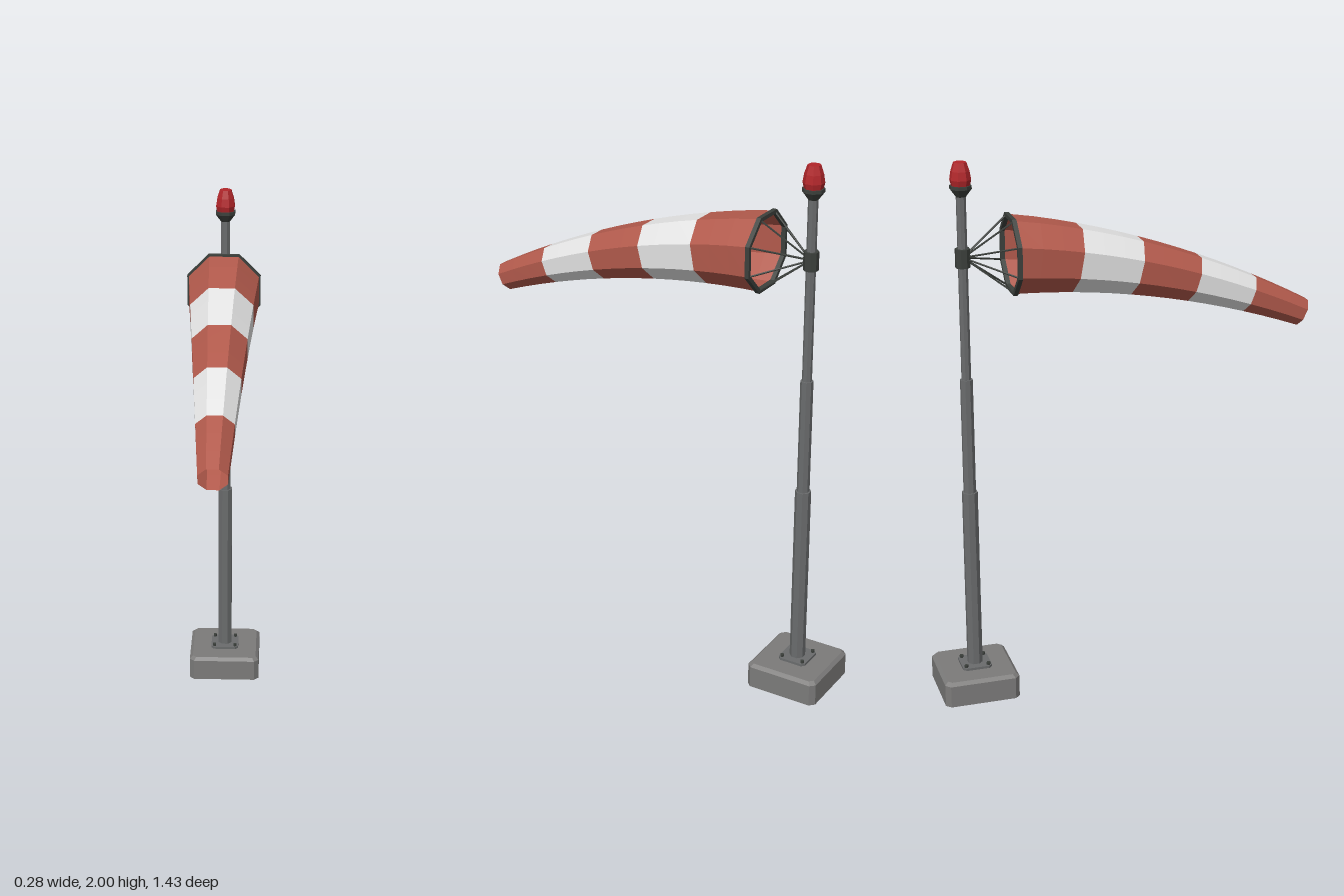
import * as THREE from 'three';

const mat = (name, color, side = THREE.FrontSide) => {
  const m = new THREE.MeshStandardMaterial({ color, side, flatShading: true });
  m.name = name;
  return m;
};

// Square with cut corners, counter-clockwise; the default cut gives a regular octagon
const octagon = (h, c = h * (2 - Math.SQRT2)) => [
  [h, c - h], [h, h - c], [h - c, h], [c - h, h],
  [-h, h - c], [-h, c - h], [c - h, -h], [h - c, -h],
];

// Skin a list of equal-sized cross-sections, optionally with end caps
function loft(sections, capped) {
  const pos = [], n = sections[0].length;
  const tri = (...pts) => pts.forEach((p) => pos.push(p.x, p.y, p.z));
  for (let i = 0; i < sections.length - 1; i++) {
    for (let j = 0; j < n; j++) {
      const k = (j + 1) % n, [s, t] = [sections[i], sections[i + 1]];
      tri(s[j], s[k], t[k]);
      tri(s[j], t[k], t[j]);
    }
  }
  if (capped) {
    const s = sections[0], t = sections[sections.length - 1];
    for (let j = 1; j < n - 1; j++) {
      tri(s[0], s[j + 1], s[j]);
      tri(t[0], t[j], t[j + 1]);
    }
  }
  const g = new THREE.BufferGeometry();
  g.setAttribute('position', new THREE.Float32BufferAttribute(pos, 3));
  g.computeVertexNormals();
  return g;
}

export function createModel() {
  const concrete = mat('concrete grey', 0x7c7b7a);
  const steel = mat('steel grey', 0x6a6c6d);
  const dark = mat('dark metal', 0x3c403c);
  const red = mat('faded red cloth', 0xb25a4c, THREE.DoubleSide);
  const white = mat('white cloth', 0xe4e4e4, THREE.DoubleSide);
  const lampRed = mat('lamp red', 0xb2262a);

  const model = new THREE.Group();
  const poleZ = -0.57, hoopY = 1.664, hoopZ = -0.398;
  const add = (parent, name, geometry, material) => {
    const m = new THREE.Mesh(geometry, material);
    m.name = name;
    parent.add(m);
    return m;
  };

  // Everything standing on the pole axis
  const mast = new THREE.Group();
  mast.name = 'mast';
  mast.position.z = poleZ;
  model.add(mast);

  // Chamfered blocks: [y, half width, corner cut] per level
  const block = (levels) => loft(levels.map(([y, h, c]) =>
    octagon(h, c).map(([z, x]) => new THREE.Vector3(x, y, z))), true);
  add(mast, 'base', block([[0, 0.14, 0.018], [0.083, 0.14, 0.018], [0.095, 0.128, 0.014]]), concrete);
  add(mast, 'footPlate', block([[0.094, 0.055, 0.012], [0.104, 0.055, 0.012]]), steel);
  for (const x of [-1, 1]) {
    for (const z of [-1, 1]) {
      add(mast, 'bolt', new THREE.CylinderGeometry(0.007, 0.007, 0.012, 6), dark)
        .position.set(x * 0.042, 0.108, z * 0.042);
    }
  }

  // Stepped pole and the swivel collar
  const column = (name, r, y0, y1, material) => {
    const g = new THREE.CylinderGeometry(r, r, y1 - y0, 8).rotateY(Math.PI / 8);
    add(mast, name, g, material).position.y = (y0 + y1) / 2;
  };
  column('lowerPole', 0.029, 0.1, 0.79, steel);
  column('middlePole', 0.023, 0.79, 1.22, steel);
  column('upperPole', 0.0175, 1.22, 1.89, steel);
  column('swivelCollar', 0.027, 1.63, 1.697, dark);

  // Lamp on top
  const lathe = (name, profile, material) => add(mast, name,
    new THREE.LatheGeometry(profile.map((p) => new THREE.Vector2(...p)), 8).rotateY(Math.PI / 8), material);
  lathe('lampSocket', [[0, 1.88], [0.018, 1.88], [0.039, 1.908], [0.039, 1.92], [0, 1.92]], dark);
  lathe('lamp', [[0.033, 1.919], [0.038, 1.94], [0.033, 1.97], [0.023, 2], [0, 2]], lampRed);

  // Octagonal hoop holding the mouth of the sock open
  const outline = (h) => octagon(h).map((p) => new THREE.Vector2(...p));
  const hoopShape = new THREE.Shape(outline(0.136));
  hoopShape.holes.push(new THREE.Path(outline(0.122)));
  add(model, 'hoop', new THREE.ExtrudeGeometry(hoopShape, { depth: 0.016, bevelEnabled: false }), dark)
    .position.set(0, hoopY, hoopZ - 0.008);

  // Eight struts from the collar to the hoop corners
  for (const [x, y] of octagon(0.129)) {
    const a = new THREE.Vector3(x * 0.12, hoopY + y * 0.12, poleZ + 0.022);
    const b = new THREE.Vector3(x, hoopY + y, hoopZ);
    const d = b.clone().sub(a);
    const strut = add(model, 'strut', new THREE.CylinderGeometry(0.0035, 0.0035, d.length(), 5), dark);
    strut.position.copy(a).add(b).multiplyScalar(0.5);
    strut.quaternion.setFromUnitVectors(new THREE.Vector3(0, 1, 0), d.normalize());
  }

  // Drooping, tapering sock: cross-sections at t = 0..1 square to its centre line
  const section = (t) => {
    const s = 1.13 * t - 0.04 * t * t;
    const tilt = Math.atan(0.1 + 0.332 * s) * Math.min(1, s / 0.07);
    const y0 = hoopY - 0.1 * s - 0.166 * s * s;
    return octagon(0.13 - 0.08 * t).map(([x, v]) =>
      new THREE.Vector3(x, y0 + v * Math.cos(tilt), -0.395 + s + v * Math.sin(tilt)));
  };
  const sock = new THREE.Group();
  sock.name = 'windsock';
  model.add(sock);
  for (let i = 0; i < 5; i++) {
    const rows = [0, 1, 2, 3].map((k) => section((i + k / 3) / 5));
    add(sock, i % 2 ? 'whiteStripe' : 'redStripe', loft(rows, false), i % 2 ? white : red);
  }
  return model;
}
